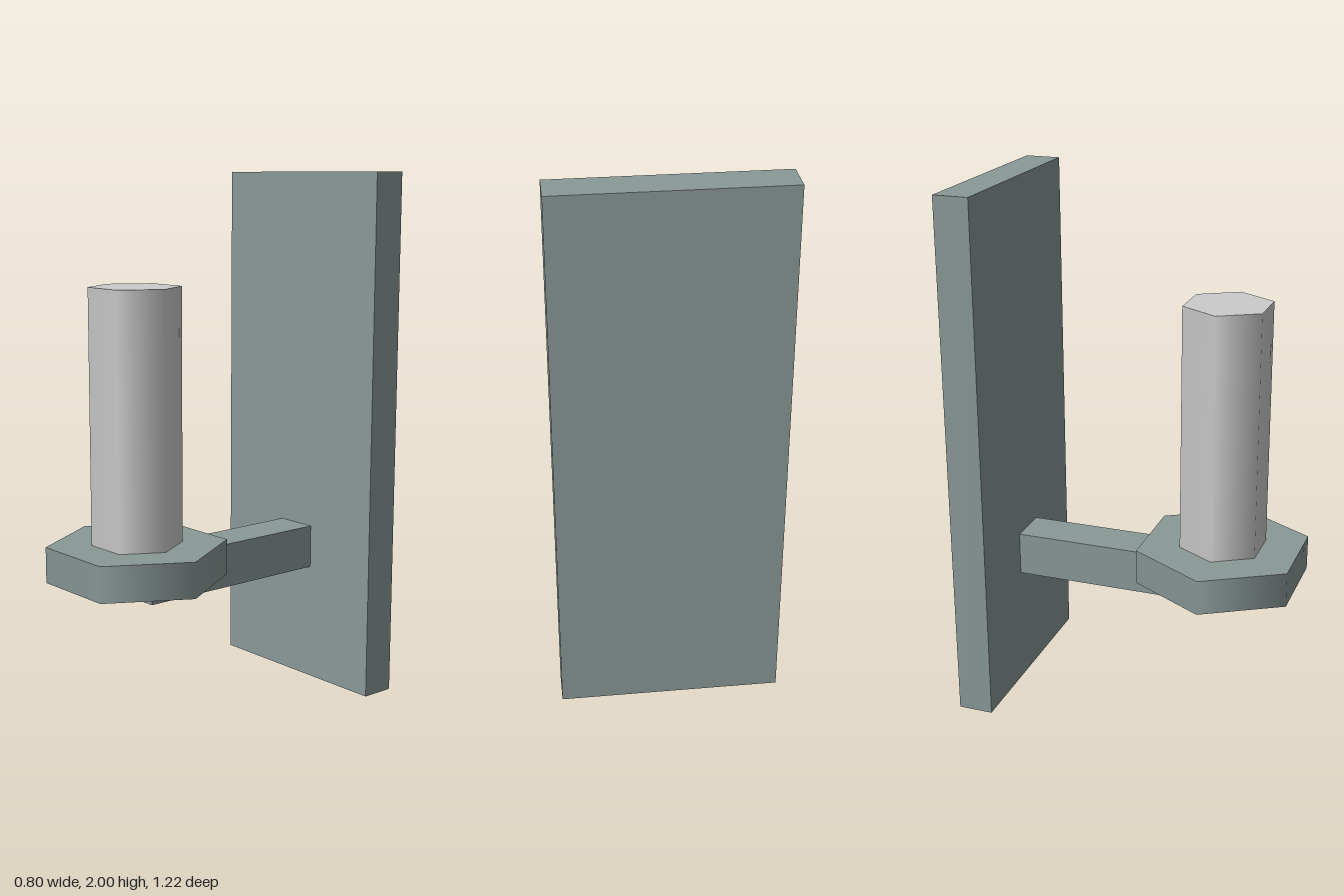
import * as THREE from 'three';

export function createModel() {
  const group = new THREE.Group();
  const metal = new THREE.MeshStandardMaterial({ color: 0x8a9997 });
  metal.name = 'grey green metal';
  const wax = new THREE.MeshStandardMaterial({ color: 0xcccccc });
  wax.name = 'pale wax';

  const add = (name, geometry, material, y, z) => {
    const mesh = new THREE.Mesh(geometry, material);
    mesh.name = name;
    mesh.position.set(0, y, z);
    group.add(mesh);
  };

  // Six-sided prism with corners pointing to +x and -x, softly shaded sides
  const hexPrism = (radius, height) =>
    new THREE.CylinderGeometry(radius, radius, height, 6).rotateY(Math.PI / 6);

  const holderZ = 0.322;

  // Wall plate and the arm reaching forward under the dish
  add('backPlate', new THREE.BoxGeometry(0.8, 2, 0.133), metal, 1, -0.544);
  add('arm', new THREE.BoxGeometry(0.167, 0.167, 0.8), metal, 0.537, -0.078);

  // Hexagonal dish with the candle standing on it
  add('dish', hexPrism(0.333, 0.133), metal, 0.602, holderZ);
  add('candle', hexPrism(0.167, 0.935), wax, 1.134, holderZ);

  return group;
}
